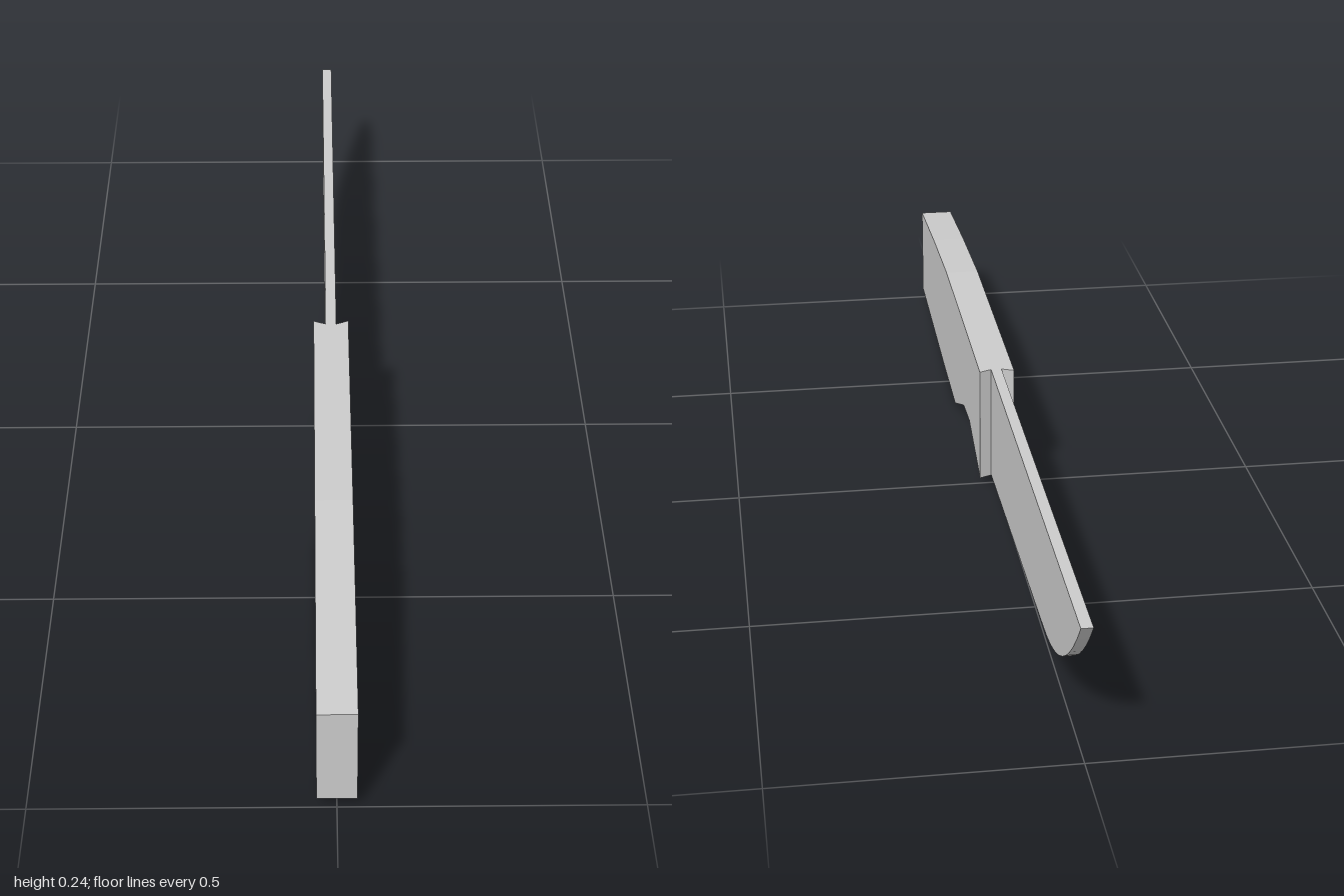
import * as THREE from 'three';

const material = new THREE.MeshStandardMaterial({ color: 0xcccccc, flatShading: true });

// Extrudes a (z, y) side outline to the given thickness, centred on x = 0
function slab(shape, thickness, steps) {
  const g = new THREE.ExtrudeGeometry(shape, {
    depth: thickness, steps, bevelEnabled: false, curveSegments: 10,
  });
  g.translate(0, 0, -thickness / 2);
  g.rotateY(-Math.PI / 2);
  return g;
}

function makeHandle() {
  const outline = [
    [1, 0.02], [1, 0.208], [0.76, 0.228], [0.52, 0.242], [-0.014, 0.242],
    [-0.014, 0.018], [0.15, 0.067], [0.24, 0.06], [0.385, 0], [0.59, 0.004],
  ].map(([z, y]) => new THREE.Vector2(z, y));
  const g = slab(new THREE.Shape(outline), 0.066, 2);

  // Notch the blade end and ridge the finger groove along the centre line
  const p = g.attributes.position;
  for (let i = 0; i < p.count; i++) {
    if (Math.abs(p.getX(i)) > 0.001) continue;
    const y = p.getY(i), z = p.getZ(i);
    if (z < 0) p.setZ(i, 0);
    else if (z > 0.1 && z < 0.3) p.setY(i, y - 0.005);
  }
  g.computeVertexNormals();
  const handle = new THREE.Mesh(g, material);
  handle.name = 'handle';
  return handle;
}

function makeBlade() {
  // Straight spine, nearly straight edge and a curved belly up to the tip
  const s = new THREE.Shape();
  s.moveTo(0.01, 0.242);
  s.lineTo(-1, 0.242);
  s.bezierCurveTo(-0.9, 0.12, -0.79, 0.05, -0.65, 0.046);
  s.lineTo(0.01, 0.018);
  s.closePath();
  const blade = new THREE.Mesh(slab(s, 0.02, 1), material);
  blade.name = 'blade';
  return blade;
}

export function createModel() {
  const knife = new THREE.Group();
  knife.name = 'knife';
  knife.add(makeHandle(), makeBlade());
  return knife;
}
